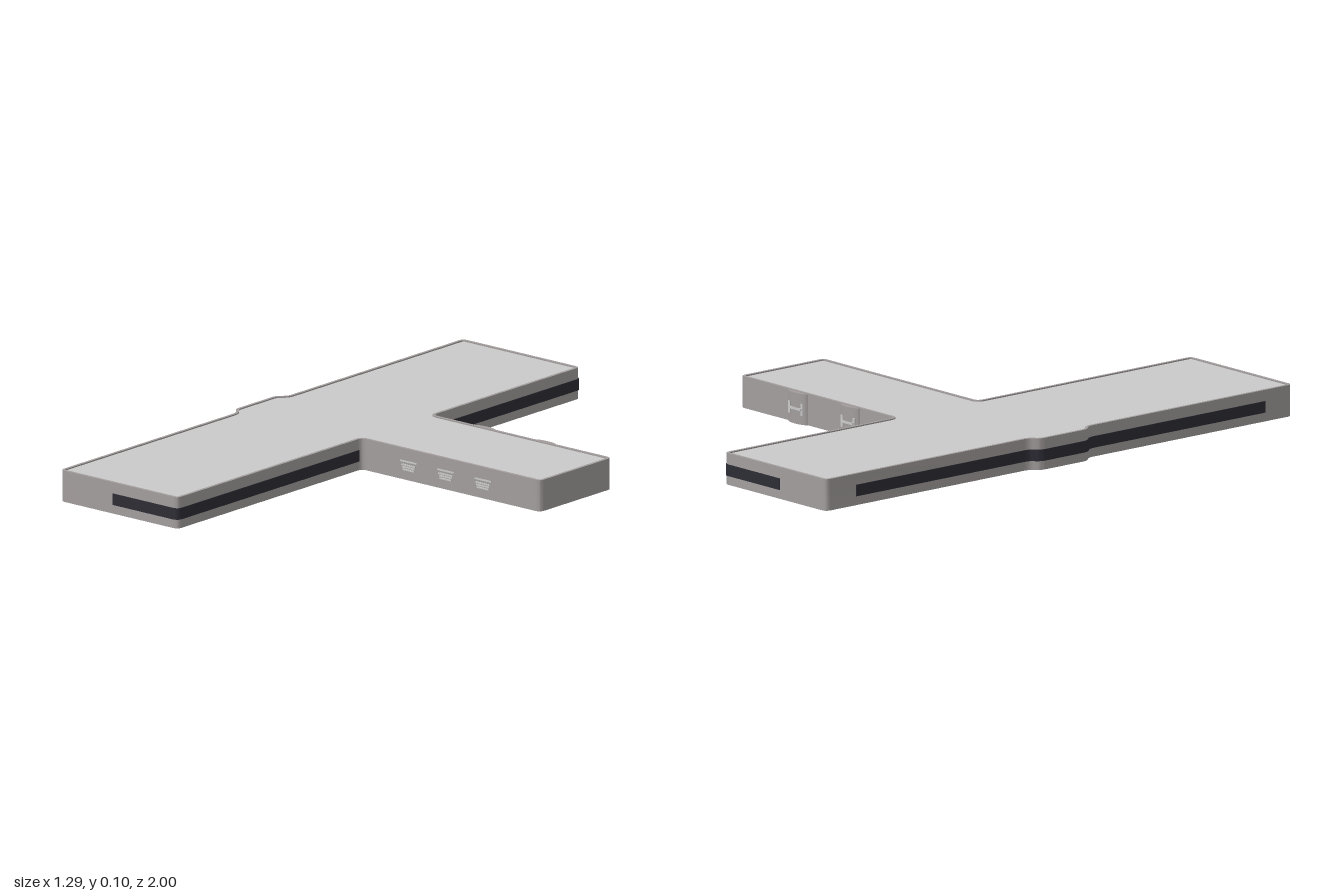
import * as THREE from 'three';
import { toCreasedNormals } from 'three/addons/utils/BufferGeometryUtils.js';

const H = 0.105;

// Round the corners of a plan path, given as [x, -z] points
function rounded(pts, r, closed) {
  const v = pts.map(p => new THREE.Vector2(p[0], p[1]));
  const n = v.length, out = [];
  v.forEach((p, i) => {
    if (!closed && (i === 0 || i === n - 1)) { out.push(p); return; }
    const a = v[(i + n - 1) % n], b = v[(i + 1) % n];
    const corner = q => p.clone().lerp(q, Math.min(r / p.distanceTo(q), 0.4));
    out.push(...new THREE.QuadraticBezierCurve(corner(a), p, corner(b)).getPoints(5));
  });
  return out;
}

// Shift a counter-clockwise path outwards by d
function offset(pts, d, closed) {
  const n = pts.length;
  return pts.map((p, i) => {
    const a = closed ? pts[(i + n - 1) % n] : pts[Math.max(i - 1, 0)];
    const b = closed ? pts[(i + 1) % n] : pts[Math.min(i + 1, n - 1)];
    const t = b.clone().sub(a).normalize();
    return new THREE.Vector2(p.x + t.y * d, p.y - t.x * d);
  });
}

// Extrude a plan shape upwards from y0 to y1
function prism(shape, y0, y1) {
  const g = new THREE.ExtrudeGeometry(shape, { depth: y1 - y0, bevelEnabled: false, curveSegments: 16 });
  g.rotateX(-Math.PI / 2).translate(0, y0, 0);
  return toCreasedNormals(g, 0.6);
}

export function createModel() {
  const model = new THREE.Group();
  const wall = new THREE.MeshStandardMaterial({ name: 'wall grey', color: 0xa39e9d });
  const pale = new THREE.MeshStandardMaterial({ name: 'pale grey', color: 0xcacaca });
  const glass = new THREE.MeshStandardMaterial({ name: 'dark glass', color: 0x2d2c35 });
  const add = (name, geometry, material, x = 0, y = 0, z = 0) => {
    const m = new THREE.Mesh(geometry, material);
    m.name = name;
    m.position.set(x, y, z);
    model.add(m);
  };

  // T-shaped plan with a shallow bay on the long side
  const bay = [[-0.615, 0.13], [-0.645, 0.105], [-0.645, -0.095], [-0.615, -0.125]];
  const plan = rounded([
    [-0.615, -0.998], [-0.115, -0.998], [-0.115, -0.085], [0.645, -0.085],
    [0.645, 0.27], [-0.115, 0.27], [-0.115, 0.998], [-0.615, 0.998], ...bay,
  ], 0.02, true);
  const inner = offset(plan, -0.01, true);

  // Outer walls with a low parapet around the roof
  const ring = new THREE.Shape(plan);
  ring.holes.push(new THREE.Path(inner));
  add('walls', prism(ring, 0, H), wall);
  add('roofAndFloor', prism(new THREE.Shape(inner), 0, H - 0.004), pale);

  // Window bands wrapping the corners
  const bands = {
    frontWindowBand: [[-0.39, -0.998], [-0.115, -0.998], [-0.115, -0.1]],
    backWindowBand: [[-0.05, 0.27], [-0.115, 0.27], [-0.115, 0.998], [-0.39, 0.998]],
    longWindowBand: [[-0.615, 0.87], ...bay, [-0.615, -0.88]],
  };
  for (const [name, pts] of Object.entries(bands)) {
    const path = rounded(pts, 0.02, false);
    const strip = [...offset(path, 0.003, false), ...offset(path, -0.003, false).reverse()];
    add(name, prism(new THREE.Shape(strip), 0.03, 0.068), glass);
  }

  // Curved door bays on the back of the wing, with pale frames
  for (const x of [0.103, 0.36]) {
    const arc = new THREE.Shape();
    arc.absellipse(x, 0.268, 0.048, 0.017, 0, Math.PI, false);
    add('doorBay', prism(arc, 0, H - 0.002), wall);
    for (const s of [-1, 1]) {
      add('doorPost', new THREE.BoxGeometry(0.01, 0.04, 0.006), pale, x + s * 0.03, 0.05, -0.28);
    }
    add('doorRail', new THREE.BoxGeometry(0.06, 0.008, 0.005), pale, x, 0.05, -0.284);
  }

  // Small slatted panels on the front of the wing
  for (const x of [0.085, 0.243, 0.402]) {
    for (const [y, w] of [[0.062, 0.07], [0.05, 0.06], [0.042, 0.055], [0.034, 0.05]]) {
      add('panelSlat', new THREE.BoxGeometry(w, 0.005, 0.004), pale, x, y, 0.0855);
    }
  }
  return model;
}
